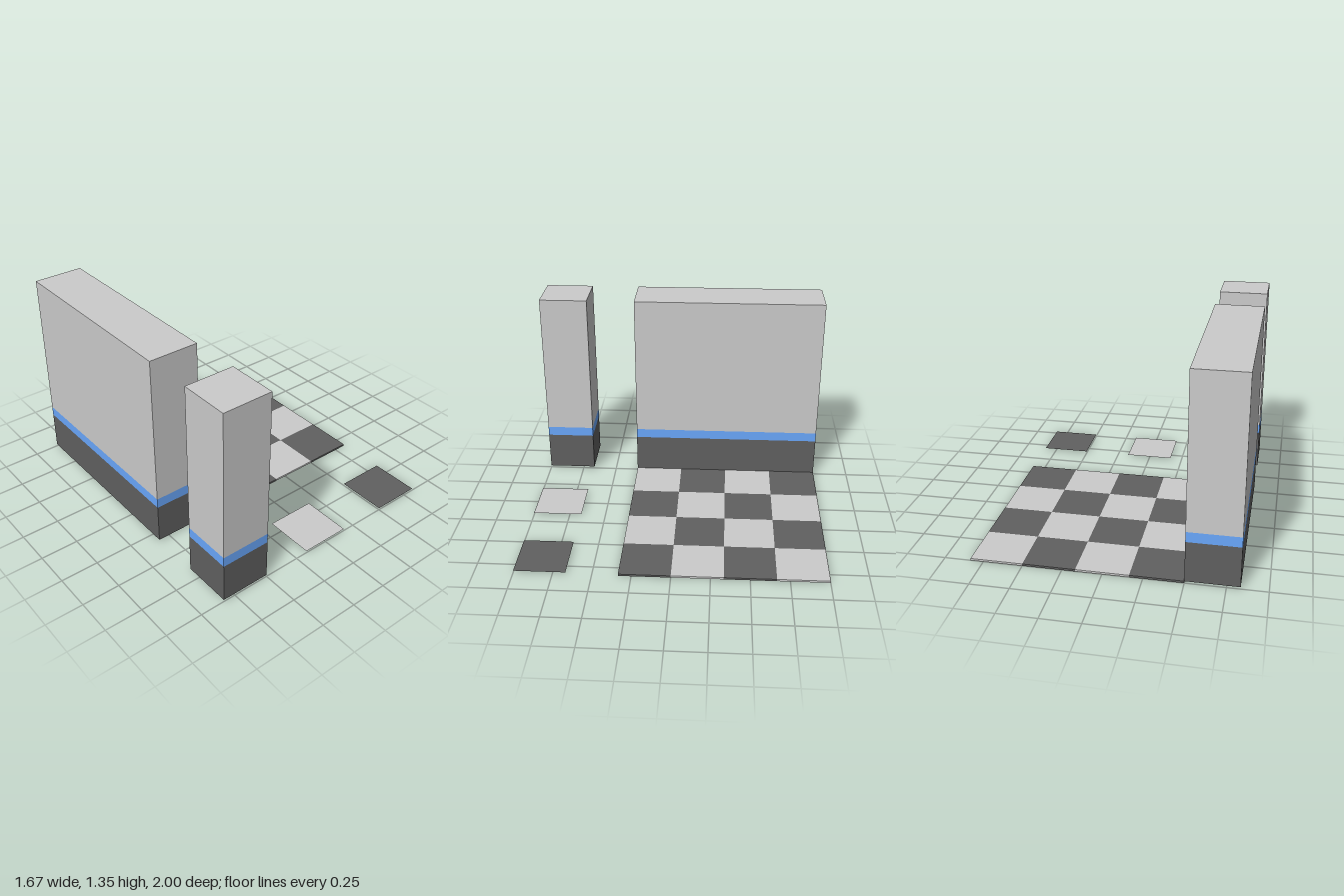
import * as THREE from 'three';

const C = 1 / 3;      // one floor cell
const SLAB = 0.04 * C; // floor thickness

const mat = (color) => new THREE.MeshStandardMaterial({ color, flatShading: true });
const light = mat(0xcccccc);
const dark = mat(0x606060);
const blue = mat(0x6aa8fc);

function box(name, w, h, d, x, bottom, z, material) {
  const mesh = new THREE.Mesh(new THREE.BoxGeometry(w, h, d), material);
  mesh.name = name;
  mesh.position.set(x, bottom + h / 2, z);
  return mesh;
}

// Wall block: dark base, blue stripe, grey upper part
function wall(name, depth, z) {
  const group = new THREE.Group();
  group.name = name;
  const bands = [
    ['base', 0.8 * C, dark],
    ['stripe', 0.2 * C, blue],
    ['upperWall', 3 * C, light],
  ];
  let y = SLAB;
  for (const [part, h, material] of bands) {
    group.add(box(part, C, h, depth, -2 * C, y, z, material));
    y += h;
  }
  return group;
}

export function createModel() {
  const model = new THREE.Group();
  model.name = 'tiledCorridor';

  model.add(wall('longWall', 4 * C, -C));
  model.add(wall('pillar', C, 2.5 * C));

  // Checkered floor of thin slabs
  const floor = new THREE.Group();
  floor.name = 'floor';
  for (let i = 0; i < 4; i++) {
    for (let j = 0; j < 4; j++) {
      const material = (i + j) % 2 === 0 ? dark : light;
      floor.add(box('floorTile', C, SLAB, C, (i - 1) * C, 0, (j - 2.5) * C, material));
    }
  }
  model.add(floor);

  // Two loose flat tiles, level with the floor's top
  for (const [name, x, source] of [['lightTile', 0, light], ['darkTile', 2 * C, dark]]) {
    const material = source.clone();
    material.side = THREE.DoubleSide;
    const tile = new THREE.Mesh(new THREE.PlaneGeometry(C, C), material);
    tile.name = name;
    tile.rotation.x = -Math.PI / 2;
    tile.position.set(x, SLAB, 2.5 * C);
    model.add(tile);
  }

  return model;
}
